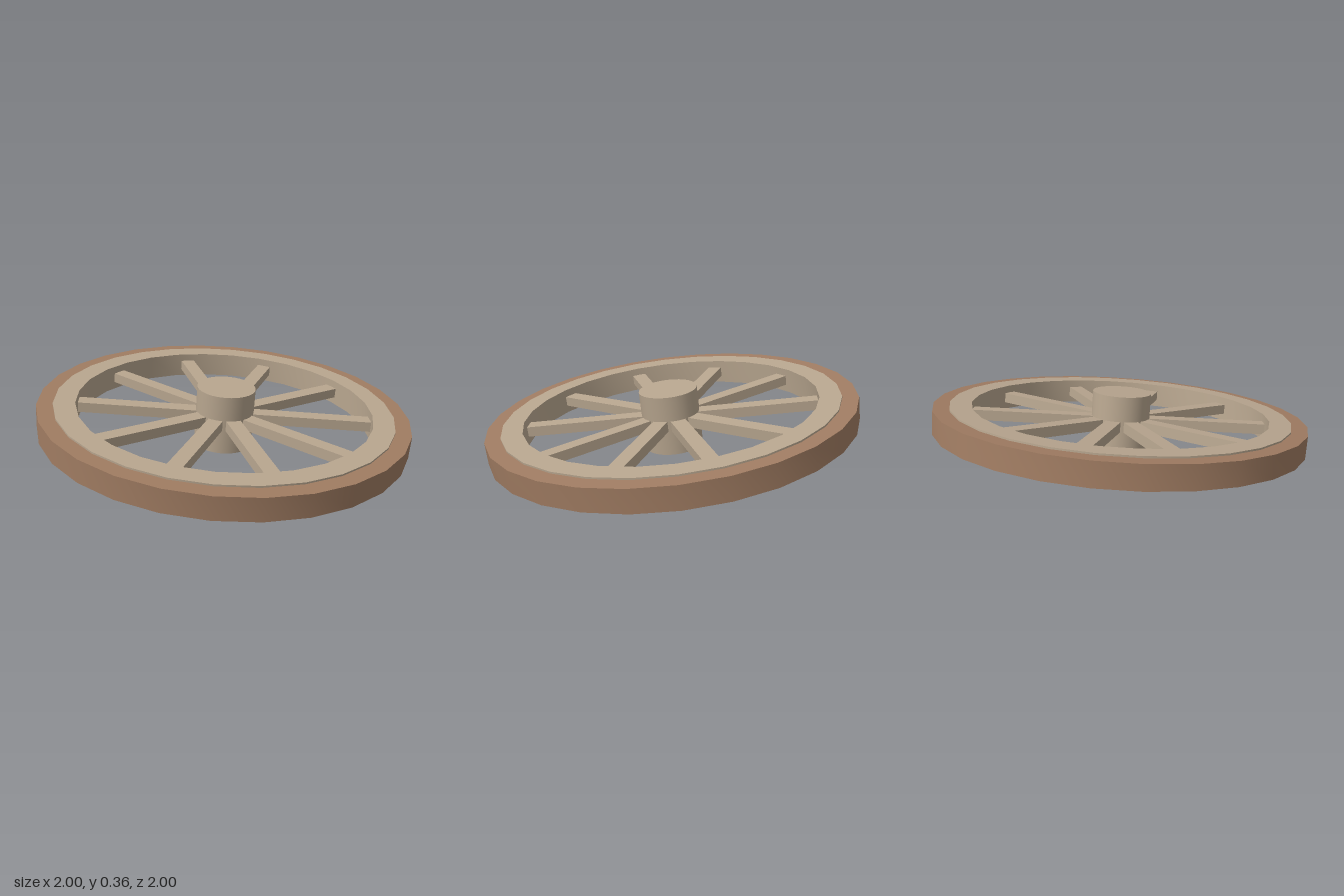
import * as THREE from 'three';
import { toCreasedNormals } from 'three/addons/utils/BufferGeometryUtils.js';

const SIDES = 28;
const SPOKES = 10;
const TILT = THREE.MathUtils.degToRad(7);

const wood = new THREE.MeshStandardMaterial({ color: 0xb8a68f });
const tyreBrown = new THREE.MeshStandardMaterial({ color: 0xa07c62 });

// Flat ring with a rectangular cross-section, lying in the xz plane
function ring(name, inner, outer, height, material) {
  const h = height / 2;
  const profile = [[inner, -h], [outer, -h], [outer, h], [inner, h], [inner, -h]]
    .map(([r, y]) => new THREE.Vector2(r, y));
  const geometry = toCreasedNormals(new THREE.LatheGeometry(profile, SIDES), Math.PI / 6);
  const mesh = new THREE.Mesh(geometry, material);
  mesh.name = name;
  return mesh;
}

export function createModel() {
  const model = new THREE.Group();
  model.name = 'wagonWheel';

  // The whole wheel leans, resting on its front edge and the hub
  const wheel = new THREE.Group();
  wheel.name = 'tiltedWheel';
  wheel.rotation.x = TILT;
  wheel.position.y = 0.182;
  model.add(wheel);

  // Outer tyre and the slightly thicker wooden rim inside it
  wheel.add(ring('tyre', 0.9, 1, 0.12, tyreBrown));
  wheel.add(ring('rim', 0.8, 0.915, 0.138, wood));

  // Hub
  const hub = new THREE.Mesh(new THREE.CylinderGeometry(0.158, 0.158, 0.322, SIDES), wood);
  hub.name = 'hub';
  wheel.add(hub);

  // Spokes, sunk a little into hub and rim
  const start = 0.14, end = 0.81;
  const spokeGeometry = new THREE.BoxGeometry(end - start, 0.055, 0.08);
  spokeGeometry.translate((start + end) / 2, 0, 0);
  const spokes = new THREE.Group();
  spokes.name = 'spokes';
  for (let i = 0; i < SPOKES; i++) {
    const spoke = new THREE.Mesh(spokeGeometry, wood);
    spoke.name = `spoke${i + 1}`;
    spoke.rotation.y = (i / SPOKES) * Math.PI * 2;
    spokes.add(spoke);
  }
  wheel.add(spokes);

  return model;
}
